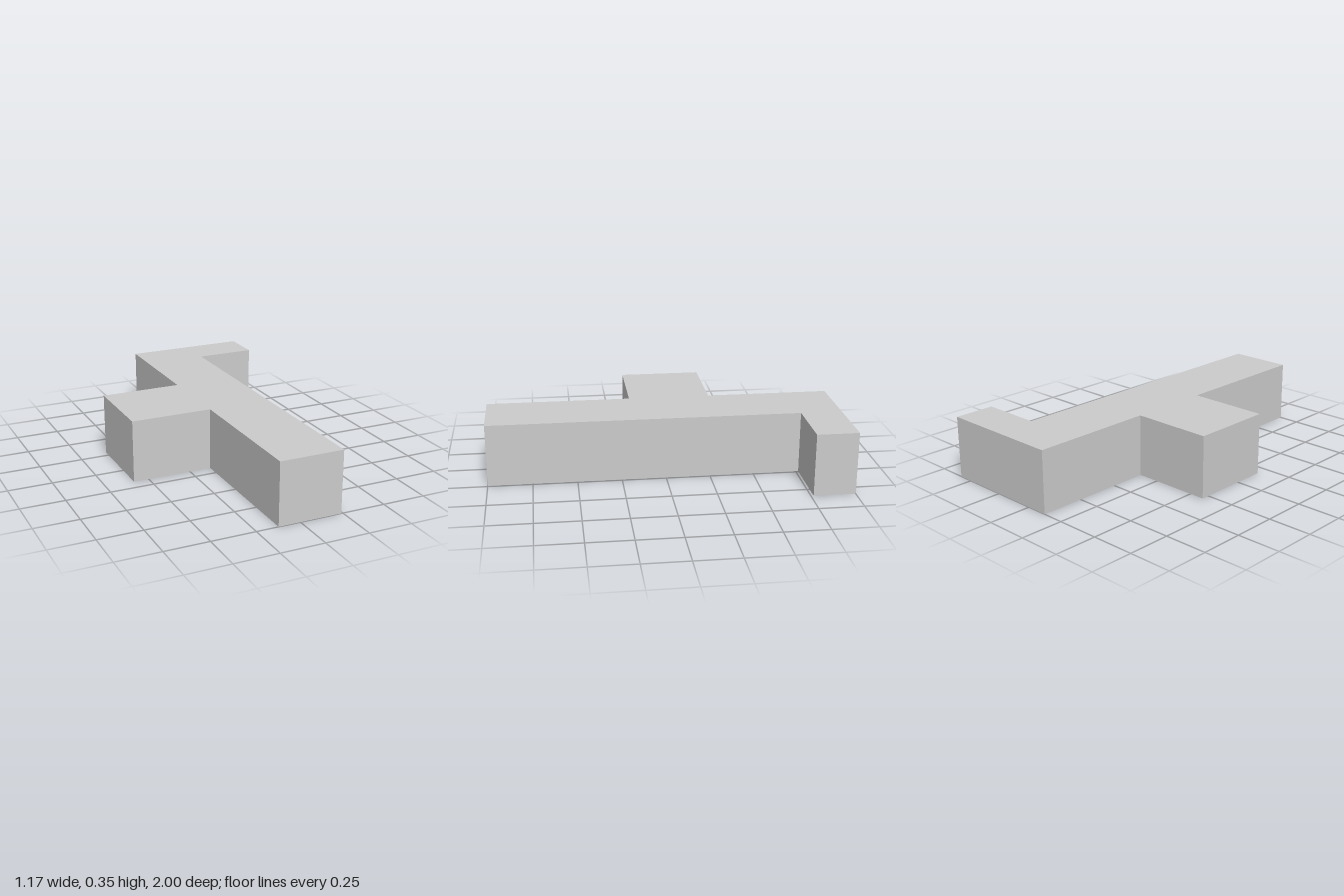
import * as THREE from 'three';

const HEIGHT = 0.355;

// Floor-plan outline as [x, z] corners
const OUTLINE = [
  [-0.125, 1], [0.24, 1], [0.24, -0.765], // long bar, left side
  [0.587, -0.765], [0.587, -1], // short arm at the back
  [-0.125, -1], [-0.125, -0.295], // long bar, right side
  [-0.587, -0.295], [-0.587, 0.175], [-0.125, 0.175], // wide side arm
];

export function createModel() {
  const group = new THREE.Group();
  group.name = 'branchedBlock';

  // Draw the plan with z mirrored, then lay it flat so it rises from y = 0
  const plan = new THREE.Shape(OUTLINE.map(([x, z]) => new THREE.Vector2(x, -z)));
  const geometry = new THREE.ExtrudeGeometry(plan, { depth: HEIGHT, bevelEnabled: false });
  geometry.rotateX(-Math.PI / 2);

  const block = new THREE.Mesh(
    geometry,
    new THREE.MeshStandardMaterial({ color: 0xcccccc, flatShading: true })
  );
  block.name = 'barWithArms';
  group.add(block);
  return group;
}
